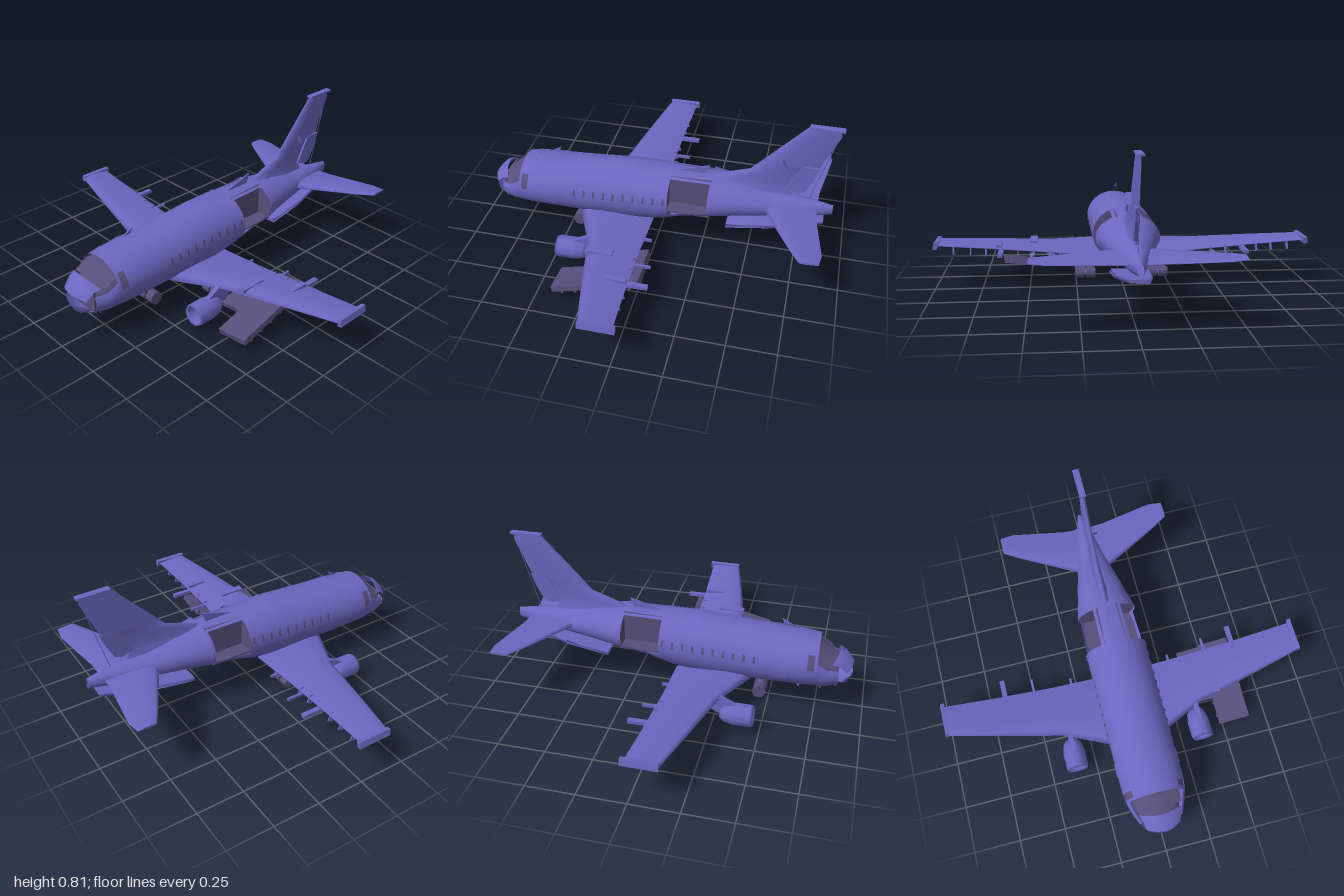
import * as THREE from 'three';

const material = (name, color) => {
  const m = new THREE.MeshStandardMaterial({ color, side: THREE.DoubleSide });
  m.name = name;
  return m;
};
const paint = material('violet paint', 0x6c66c0);
const dark = material('dark interior', 0x564f7a);

// Fuselage stations: x, bottom, top, half width
const STATIONS = [
  [-0.86, 0.15, 0.32, 0.115], [-0.8, 0.138, 0.34, 0.14], [-0.75, 0.132, 0.4, 0.156],
  [-0.68, 0.13, 0.408, 0.165], [-0.4, 0.125, 0.425, 0.165], [-0.12, 0.125, 0.447, 0.165],
  [0.02, 0.145, 0.445, 0.165], [0.15, 0.19, 0.442, 0.163], [0.3, 0.215, 0.44, 0.156],
  [0.45, 0.235, 0.42, 0.125], [0.6, 0.25, 0.39, 0.088], [0.8, 0.27, 0.365, 0.045],
  [0.92, 0.29, 0.348, 0.014],
];

// Point on the hull at x and angle a (0 = top, positive toward +z)
function hull(x, a, k = 1) {
  let i = 0;
  while (i < STATIONS.length - 2 && x > STATIONS[i + 1][0]) i++;
  const p = STATIONS[i], q = STATIONS[i + 1], t = (x - p[0]) / (q[0] - p[0]);
  const [b, top, w] = [1, 2, 3].map(n => p[n] + (q[n] - p[n]) * t);
  return [x, (b + top) / 2 + k * (top - b) / 2 * Math.cos(a), k * w * Math.sin(a)];
}

// Skin through equal-length rows of points
function surface(rows, closed = false) {
  const n = rows[0].length, pos = rows.flat(2), idx = [];
  for (let i = 0; i < rows.length - 1; i++) {
    for (let j = 0; j < (closed ? n : n - 1); j++) {
      const a = i * n + j, b = i * n + (j + 1) % n;
      idx.push(a, b, a + n, b, b + n, a + n);
    }
  }
  if (closed) { // end caps
    for (const r of [0, rows.length - 1]) {
      const base = pos.length / 3;
      pos.push(...rows[r].flat());
      for (let j = 1; j < n - 1; j++) idx.push(base, base + (r ? j : j + 1), base + (r ? j + 1 : j));
    }
  }
  const g = new THREE.BufferGeometry();
  g.setAttribute('position', new THREE.Float32BufferAttribute(pos, 3));
  g.setIndex(idx);
  g.computeVertexNormals();
  return g;
}

// Rectangular patch of hull skin
function patch(x0, x1, a0, a1, k = 1, nx = 1, na = 6) {
  const xs = [x0, x1, ...STATIONS.map(s => s[0]).filter(x => x > x0 && x < x1)];
  for (let i = 1; i < nx; i++) xs.push(x0 + (x1 - x0) * i / nx);
  xs.sort((a, b) => a - b);
  return surface(xs.map(x => Array.from({ length: na + 1 }, (_, j) => hull(x, a0 + (a1 - a0) * j / na, k))));
}

// Cross wall filling the hull at x
function bulkhead(x) {
  return surface([x, x + 0.006].map(v => Array.from({ length: 28 }, (_, j) => hull(v, j / 28 * Math.PI * 2, 0.985))), true);
}

// Aerofoil surface from stations: z, leading x, trailing x, y, thickness
const FOIL = [[0, 0], [0.08, 0.36], [0.3, 0.5], [0.65, 0.34], [1, 0.05], [1, -0.05], [0.65, -0.3], [0.3, -0.42], [0.08, -0.3]];
function foil(stations, s) {
  return surface(stations.map(([z, l, t, y, h]) => FOIL.map(([u, v]) => [l + (t - l) * u, y + h * v, s * z])), true);
}

// Flat plate drawn in x,y and centred on z
function sidePlate(points, depth) {
  const shape = new THREE.Shape(points.map(p => new THREE.Vector2(...p)));
  return new THREE.ExtrudeGeometry(shape, { depth, bevelEnabled: false }).translate(0, 0, -depth / 2);
}

export function createModel() {
  const group = new THREE.Group();
  const add = (name, geo, x = 0, y = 0, z = 0, mat = paint) => {
    const m = new THREE.Mesh(geo, mat);
    m.name = name;
    m.position.set(x, y, z);
    group.add(m);
    return m;
  };
  const addDark = (name, geo, x = 0, y = 0, z = 0) => add(name, geo, x, y, z, dark);
  const box = (name, w, h, d, x, y, z, mat = paint) => add(name, new THREE.BoxGeometry(w, h, d), x, y, z, mat);
  const PI = Math.PI, TAU = PI * 2;

  // Hull, left open around the two cargo openings and the cockpit glass
  add('forwardFuselage', patch(-0.68, 0.07, -PI, PI, 1, 8, 40));
  add('roofBetweenOpenings', patch(0.07, 0.29, -0.5, 0.5, 1, 3, 10));
  add('bellyBetweenOpenings', patch(0.07, 0.29, 2.0, TAU - 2.0, 1, 3, 16));
  add('rearFuselage', patch(0.29, 0.92, -PI, PI, 1, 8, 40));
  add('noseSkin', patch(-0.86, -0.68, 1.45, TAU - 1.45, 1, 4, 24));
  add('cockpitRoof', patch(-0.75, -0.68, -0.85, 0.85, 1, 2, 12));

  // Hold interior: end walls, centre wall and floor
  addDark('holdFrontWall', bulkhead(0.063));
  addDark('holdRearWall', bulkhead(0.291));
  box('holdCentreWall', 0.225, 0.205, 0.12, 0.18, 0.332, 0, dark);
  box('holdFloor', 0.225, 0.008, 0.28, 0.18, 0.262, 0, dark);

  // Cockpit interior and windscreen
  addDark('cockpitRearWall', bulkhead(-0.69));
  addDark('cockpitDash', patch(-0.855, -0.69, -1.5, 1.5, 0.8, 2, 12));
  addDark('windscreen', surface([[-0.752, 0.392, 0.075], [-0.765, 0.36, 0.12], [-0.83, 0.322, 0.118]].map(([x, y, w]) =>
    [-1, -0.5, 0, 0.5, 1].map(u => [x + 0.025 * u * u, y - 0.02 * u * u, w * u]))));
  box('noseBulkhead', 0.01, 0.13, 0.18, -0.85, 0.235, 0, dark);

  // Broken nose: upper lip and lower jaw
  const lip = (name, pts) => add(name, surface(pts.map(([x, y, w, drop]) =>
    [-1, -0.8, -0.4, 0, 0.4, 0.8, 1].map(u => [x + 0.03 * u * u, y - drop * u * u, w * u]))));
  lip('upperNoseLip', [[-0.93, 0.275, 0.09, 0.02], [-0.89, 0.325, 0.1, 0.03], [-0.855, 0.34, 0.11, 0.035]]);
  lip('lowerJaw', [[-0.93, 0.215, 0.085, -0.01], [-0.91, 0.165, 0.1, -0.04], [-0.86, 0.148, 0.115, -0.07], [-0.8, 0.138, 0.14, -0.09]]);

  for (const s of [1, -1]) {
    // Passenger door, window row and ragged opening frame
    add('passengerDoor', patch(-0.6, -0.535, s * 0.55, s * 1.95, 1.025, 1, 10));
    for (let i = 0; i < 10; i++) {
      const x = -0.44 + i * 0.054;
      add('windowFrame', patch(x, x + 0.026, s * 1.18, s * 1.5, 1.015, 1, 3));
      addDark('windowPane', patch(x + 0.003, x + 0.015, s * 1.22, s * 1.46, 1.03, 1, 3));
    }
    add('cockpitPillar', patch(-0.75, -0.735, s * 0.8, s * 1.5, 1, 1, 4));
    add('cockpitRearPost', patch(-0.7, -0.68, s * 0.8, s * 1.5, 1, 1, 4));
    addDark('cockpitSideGlass', patch(-0.75, -0.68, s * 0.8, s * 1.5, 0.97, 1, 4));
    add('noseShoulder', patch(-0.86, -0.75, s * 1.15, s * 1.46, 1, 2, 3));
    for (const x of [0.06, 0.285]) add('openingFrame', patch(x, x + 0.016, s * 0.45, s * 2.05, 1.03, 1, 12));
    add('openingSill', patch(0.06, 0.3, s * 1.95, s * 2.06, 1.03, 2, 2));
    add('rearDoorPanel', patch(0.3, 0.365, s * 0.8, s * 2.1, 1.025, 1, 8));
    add('roofRail', patch(-0.7, 0.08, s * 0.44, s * 0.5, 1.02, 3, 1));

    // Main wing, tip rail and flap-track fairings
    add('wing', foil([[0.1, -0.42, -0.01, 0.165, 0.075], [0.17, -0.39, -0.01, 0.17, 0.065],
      [0.39, -0.29, -0.01, 0.188, 0.05], [0.7, -0.22, 0, 0.215, 0.038], [0.99, -0.15, 0.015, 0.238, 0.028]], s));
    box('wingTipRail', 0.18, 0.035, 0.022, -0.06, 0.238, s * 0.989).rotation.x = -s * 0.2;
    box('flapTrack', 0.13, 0.018, 0.026, 0.03, 0.195, s * 0.65);
    box('flapTrack', 0.1, 0.014, 0.012, 0.02, 0.175, s * 0.49);
    box('flapTrack', 0.05, 0.014, 0.012, 0, 0.165, s * 0.28);
    for (const z of [0.48, 0.56, 0.73, 0.81, 0.9]) {
      box('flapHanger', 0.03, 0.05, 0.006, -0.02, 0.16 + z * 0.05, s * z).rotation.z = 0.4;
    }

    // Engine: open shell, fan, tapered exhaust and pylon
    const nacelle = new THREE.LatheGeometry([[0.045, -0.04], [0.05, 0.07], [0.054, 0.085], [0.059, 0.07],
      [0.06, -0.01], [0.05, -0.06], [0.032, -0.085], [0, -0.085]].map(p => new THREE.Vector2(...p)), 10).rotateZ(PI / 2);
    add('engineNacelle', nacelle, -0.385, 0.1, s * 0.355);
    addDark('engineFan', new THREE.CircleGeometry(0.047, 12).rotateY(-PI / 2), -0.4, 0.1, s * 0.355);
    add('enginePylon', sidePlate([[-0.41, 0.14], [-0.3, 0.195], [-0.15, 0.18], [-0.29, 0.1]], 0.025), 0, 0, s * 0.355);

    // Tailplane
    add('tailplane', foil([[0.02, 0.54, 0.84, 0.322, 0.05], [0.12, 0.59, 0.845, 0.326, 0.04],
      [0.4, 0.74, 0.89, 0.342, 0.024], [0.475, 0.785, 0.88, 0.348, 0.014]], s));

    // Main landing gear bogie
    for (const x of [-0.19, -0.11]) {
      for (const dz of [-0.03, 0.03]) {
        addDark('mainWheel', new THREE.CylinderGeometry(0.028, 0.028, 0.048, 12).rotateX(PI / 2), x, 0.045, s * (0.2 + dz));
      }
    }
    box('mainGearBeam', 0.08, 0.014, 0.02, -0.15, 0.045, s * 0.2);
    box('mainGearStrut', 0.022, 0.13, 0.022, -0.15, 0.1, s * 0.22).rotation.x = s * 0.3;
    box('mainGearDoor', 0.1, 0.07, 0.006, -0.15, 0.115, s * 0.265).rotation.x = s * 0.5;

    // Nose gear wheel
    addDark('noseWheel', new THREE.CylinderGeometry(0.036, 0.036, 0.045, 12).rotateX(PI / 2), -0.45, 0.036, s * 0.029);
  }
  box('noseGearStrut', 0.02, 0.11, 0.02, -0.45, 0.09, 0);

  // Fin swelling into the spine, with a hanging rudder and a cap; stations: y, leading x, trailing x, thickness
  add('fin', surface([[0.37, 0.22, 0.7, 0.11], [0.42, 0.26, 0.68, 0.06], [0.457, 0.32, 0.69, 0.042], [0.512, 0.48, 0.725, 0.036],
    [0.55, 0.515, 0.75, 0.034], [0.57, 0.533, 0.825, 0.034], [0.77, 0.718, 0.91, 0.03], [0.81, 0.755, 0.9, 0.026]]
    .map(([y, l, t, h]) => FOIL.map(([u, v]) => [l + (t - l) * u, y, h * v])), true));
  add('rudder', sidePlate([[0.745, 0.57], [0.83, 0.57], [0.81, 0.51], [0.765, 0.42], [0.73, 0.405], [0.665, 0.425]], 0.02), 0, 0, 0.004);
  box('finCap', 0.17, 0.01, 0.034, 0.837, 0.806, 0);
  add('rudderCable', new THREE.TubeGeometry(new THREE.LineCurve3(new THREE.Vector3(0.9, 0.77, 0), new THREE.Vector3(0.79, 0.36, 0)), 1, 0.002, 4));
  add('finBracket', sidePlate([[0.64, 0.61], [0.66, 0.56], [0.67, 0.56]], 0.03), 0, 0, 0.03);

  // Loose cargo ramp under the tail
  add('cargoRamp', surface([[0.38, 0.172, 0.1], [0.62, 0.205, 0.09], [0.88, 0.25, 0.045]].map(([x, y, w]) =>
    [[x, y, -w], [x, y + 0.004, w], [x, y + 0.02, w * 0.9], [x, y + 0.016, -w * 0.9]]), true));

  // Torn flap slab hanging below the left wing
  const slab = new THREE.Group();
  slab.name = 'hangingFlap';
  slab.position.set(-0.185, 0.105, 0.5);
  slab.rotation.set(-0.12, 0, 0.25);
  const part = (name, w, h, d, x, y, z) => {
    const m = new THREE.Mesh(new THREE.BoxGeometry(w, h, d), dark);
    m.name = name;
    m.position.set(x, y, z);
    slab.add(m);
  };
  part('flapOuterSlab', 0.46, 0.03, 0.17, 0, 0, 0.055);
  part('flapInnerSlab', 0.3, 0.03, 0.13, 0.07, 0, -0.09);
  for (let i = 0; i < 6; i++) part('flapRib', 0.012, 0.02, 0.17, -0.18 + i * 0.072, -0.02, 0.05);
  group.add(slab);
  box('upperWingFairing', 0.14, 0.02, 0.04, -0.2, 0.215, 0.48);
  box('upperWingFairing', 0.1, 0.016, 0.03, -0.06, 0.225, 0.66);

  // Torn roof skin and small aerials
  add('tornRoofSkin', sidePlate([[0.09, 0.44], [0.27, 0.493], [0.25, 0.44]], 0.008));
  add('roofAerial', sidePlate([[-0.6, 0.45], [-0.545, 0.482], [-0.555, 0.455]], 0.008));
  add('bellyFin', sidePlate([[-0.68, 0.135], [-0.61, 0.135], [-0.655, 0.075]], 0.012));
  add('bellyAerial', sidePlate([[-0.8, 0.14], [-0.765, 0.075], [-0.77, 0.14]], 0.006));
  return group;
}
